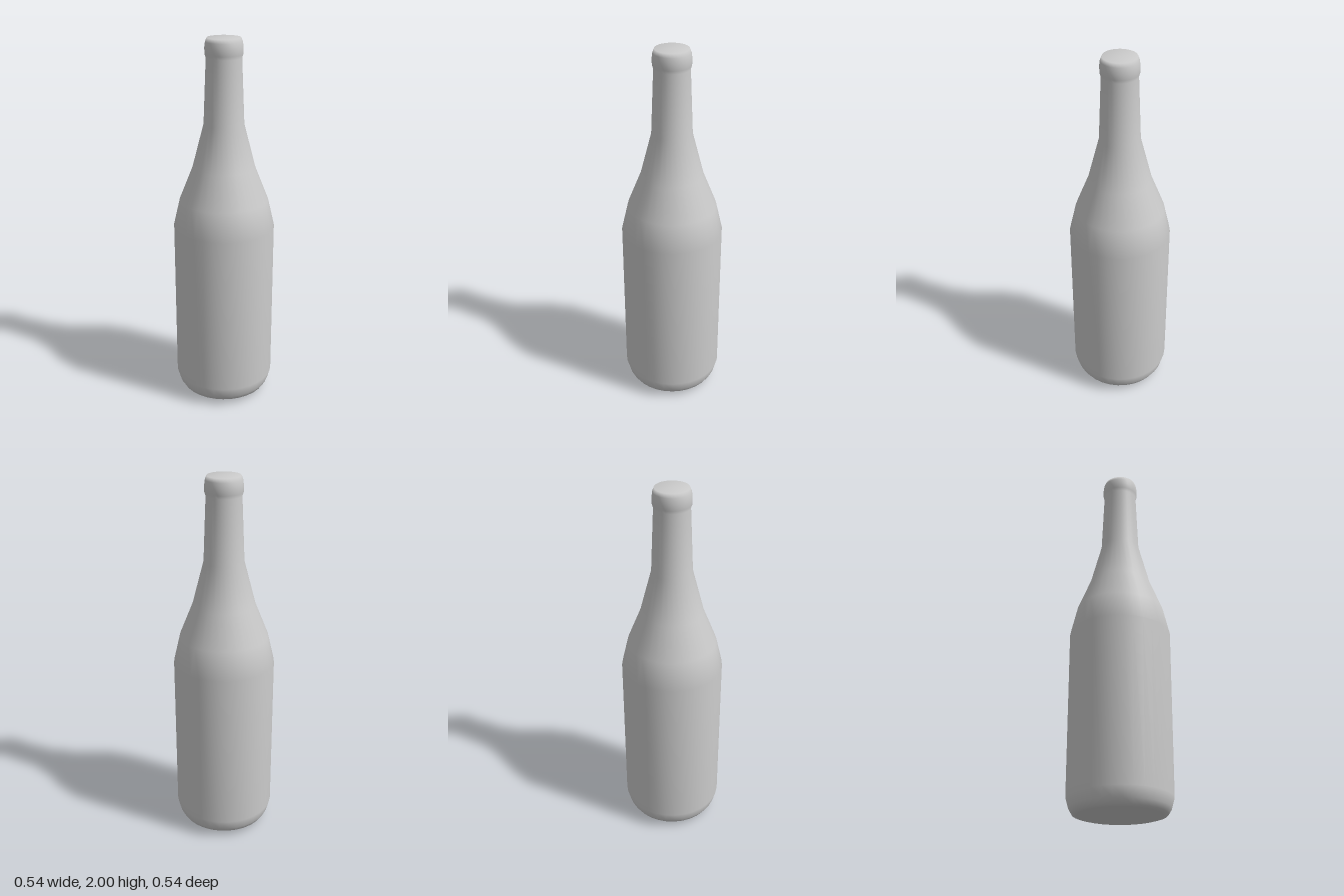
import * as THREE from 'three';

export function createModel() {
  const group = new THREE.Group();
  const material = new THREE.MeshStandardMaterial({ color: 0xcccccc });

  // Profile as [radius, height], from the base centre up to the closed top
  const profile = [
    [0, 0], [0.07, 0.01], [0.215, 0.025], [0.24, 0.032], [0.257, 0.06], [0.272, 0.115], // base
    [0.272, 1.0], // straight body
    [0.237, 1.15], [0.167, 1.325], [0.106, 1.56], // shoulder
    [0.092, 1.9], [0.098, 1.918], [0.099, 1.95], [0.095, 1.98], [0.087, 2.0], // neck and lip
    [0, 2.0],
  ].map(([r, y]) => new THREE.Vector2(r, y));

  const bottle = new THREE.Mesh(new THREE.LatheGeometry(profile, 32), material);
  bottle.name = 'bottle';
  group.add(bottle);
  return group;
}
